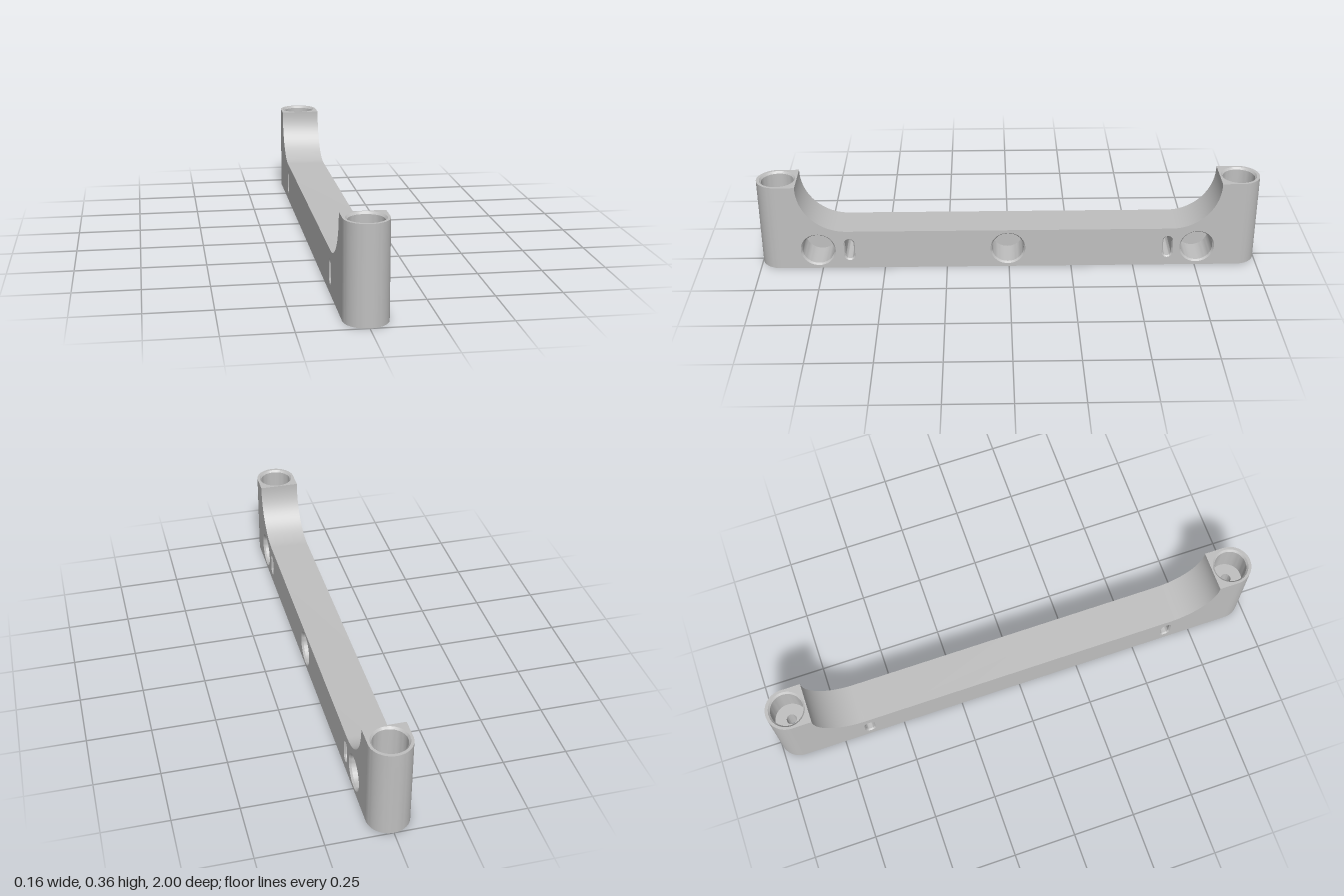
import * as THREE from 'three';
import { toCreasedNormals } from 'three/addons/utils/BufferGeometryUtils.js';

const R = 0.081;        // half width of the bar and radius of its round ends
const END = 0.919;      // centre of the round ends
const H = 0.362;        // post height
const BAR = 0.165;      // bar height
const POST = 0.84;      // inner wall of the posts
const FILLET = 0.19;
const MID = 0.083;      // height of the side openings
const SOCKET = 0.917;   // centre of the end sockets

const grey = new THREE.MeshStandardMaterial({ color: 0xbfbfbf });
grey.name = 'grey';

const v = (x, y, z) => new THREE.Vector3(x, y, z);

function mesh(name, geometry) {
  const m = new THREE.Mesh(geometry, grey);
  m.name = name;
  return m;
}

// Skin between successive rows of points, with sharp edges kept
function loft(rows) {
  const pos = [];
  for (let i = 0; i < rows.length - 1; i++) {
    for (let j = 0; j < rows[i].length - 1; j++) {
      const a = rows[i][j], b = rows[i][j + 1];
      const c = rows[i + 1][j], d = rows[i + 1][j + 1];
      for (const p of [a, b, d, a, d, c]) pos.push(p.x, p.y, p.z);
    }
  }
  const g = new THREE.BufferGeometry();
  g.setAttribute('position', new THREE.Float32BufferAttribute(pos, 3));
  return toCreasedNormals(g, 0.5);
}

// Upright slot outline; a half length of zero gives a circle
function outline(r, half = 0, cx = 0, cy = 0, n = 48) {
  const pts = [];
  for (let i = 0; i < n; i++) {
    const t = (i / n) * Math.PI * 2;
    pts.push(new THREE.Vector2(cx + r * Math.cos(t), cy + r * Math.sin(t) + (i <= n / 2 ? half : -half)));
  }
  return pts;
}

// Inner walls of an opening running towards -z, from [radius, depth] steps
function well(steps, half = 0) {
  return loft(steps.map(([r, depth]) => {
    const ring = outline(r, half).map(p => v(p.x, p.y, -depth));
    return [...ring, ring[0]];
  }));
}

function plate(points, holes = []) {
  const s = new THREE.Shape(points);
  s.holes = holes.map(h => new THREE.Path(h));
  return new THREE.ShapeGeometry(s);
}

// Upper edge of the bar as (z, y), from the back post to the front post
function topEdge() {
  const half = [];
  for (let i = 0; i <= 20; i++) {
    const t = (i / 20) * Math.PI / 2;
    half.push([POST - FILLET + FILLET * Math.sin(t), BAR + FILLET * (1 - Math.cos(t))]);
  }
  half.push([POST, H]);
  const back = half.map(([z, y]) => [-z, y]).reverse();
  return [...back, ...half];
}

// Half circle around the front end, as (x, z)
function endArc() {
  return Array.from({ length: 33 }, (_, i) => {
    const t = (i / 32) * Math.PI;
    return new THREE.Vector2(-R * Math.cos(t), END + R * Math.sin(t));
  });
}

export function createModel() {
  const model = new THREE.Group();
  model.name = 'bracketBar';

  const pockets = [0.765, 0.005, -0.755];
  const slots = [0.64, -0.637];
  const pocketR = 0.07, slotR = 0.022, slotHalf = 0.026;
  const edge = topEdge();

  // Flat sides: the right-hand plate has pockets, both have slots
  for (const side of [1, -1]) {
    const pts = [[-END, 0], [END, 0], [END, H], ...[...edge].reverse(), [-END, H]]
      .map(([z, y]) => new THREE.Vector2(z, y));
    const holes = slots.map(z => outline(slotR, slotHalf, -side * z, MID));
    if (side > 0) holes.push(...pockets.map(z => outline(pocketR, 0, -z, MID)));
    const m = mesh(side > 0 ? 'leftSide' : 'rightSide', plate(pts, holes));
    m.rotation.y = side * Math.PI / 2;
    m.position.x = side * R;
    model.add(m);
  }

  // Bar top with its curved rise into the posts
  model.add(mesh('barTop', loft([-R, R].map(x => edge.map(([z, y]) => v(x, y, z))))));

  // Underside with a socket opening at each end
  const arc = endArc();
  const under = mesh('underside', plate(
    [...arc, ...arc.map(p => new THREE.Vector2(-p.x, -p.y))],
    [outline(0.071, 0, 0, SOCKET), outline(0.071, 0, 0, -SOCKET)]));
  under.rotation.x = Math.PI / 2;
  model.add(under);

  // Blind round pockets
  const pocketGeo = well([[pocketR, 0], [0.064, 0.008], [0.064, 0.13], [0, 0.13]]);
  for (const z of pockets) {
    const m = mesh('sidePocket', pocketGeo);
    m.rotation.y = Math.PI / 2;
    m.position.set(R, MID, z);
    model.add(m);
  }

  // Through slots, chamfered on both sides
  const slotGeo = well([[slotR, 0], [0.017, 0.006], [0.017, 2 * R - 0.006], [slotR, 2 * R]], slotHalf);
  for (const z of slots) {
    const m = mesh('slot', slotGeo);
    m.rotation.y = Math.PI / 2;
    m.position.set(R, MID, z);
    model.add(m);
  }

  // End posts: round wall, top face, and two sockets joined by a small bore
  const wallGeo = loft([0, H].map(y => arc.map(p => v(p.x, y, p.y))));
  const capGeo = plate(
    [new THREE.Vector2(-R, -POST), ...arc.map(p => new THREE.Vector2(p.x, -p.y)), new THREE.Vector2(R, -POST)],
    [outline(0.071, 0, 0, -SOCKET)]);
  const socketGeo = well([
    [0.071, 0], [0.064, 0.008], [0.064, 0.13], [0.02, 0.13],
    [0.02, H - 0.13], [0.064, H - 0.13], [0.064, H - 0.008], [0.071, H]]);
  for (const front of [true, false]) {
    const post = new THREE.Group();
    post.name = front ? 'frontPost' : 'backPost';
    const cap = mesh('postTop', capGeo);
    cap.rotation.x = -Math.PI / 2;
    cap.position.y = H;
    const socket = mesh('postSocket', socketGeo);
    socket.rotation.x = -Math.PI / 2;
    socket.position.set(0, H, SOCKET);
    post.add(mesh('postWall', wallGeo), cap, socket);
    if (!front) post.rotation.y = Math.PI;
    model.add(post);
  }

  return model;
}
